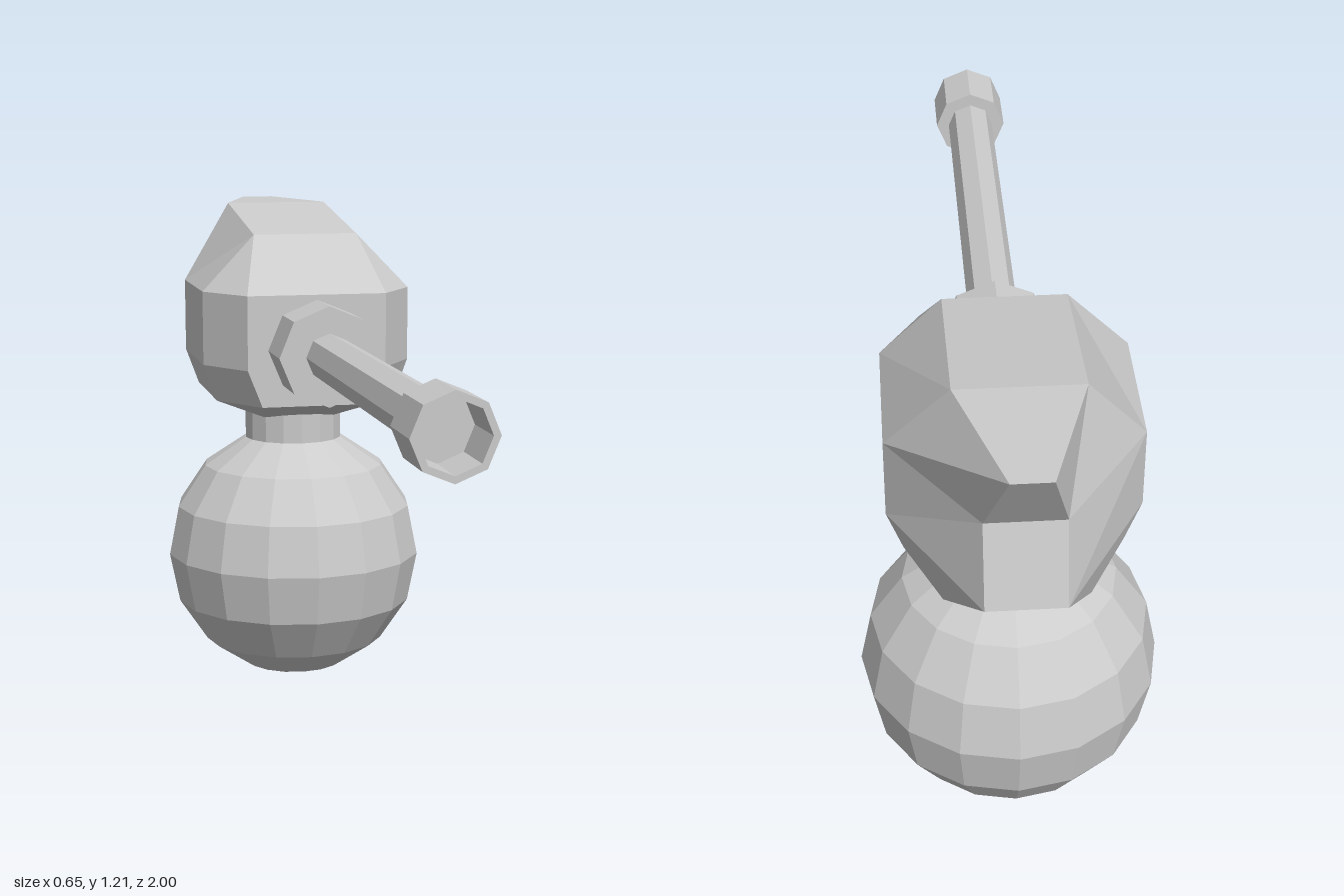
import * as THREE from 'three';

const material = new THREE.MeshStandardMaterial({ color: 0xcccccc, flatShading: true });

// Half outlines [x, y, z] from front to back, one per level going up
const headLevels = [
  [[0.085, 0.69, -0.43], [0.085, 0.69, -0.43], [0.15, 0.69, -0.72], [0.15, 0.69, -0.72]],
  [[0.135, 0.755, -0.2], [0.225, 0.755, -0.33], [0.225, 0.755, -0.63], [0.15, 0.69, -0.72]],
  [[0.17, 0.845, -0.2], [0.258, 0.845, -0.33], [0.258, 0.845, -0.63], [0.08, 0.845, -0.925]],
  [[0.17, 1.025, -0.2], [0.258, 1.025, -0.33], [0.258, 1.025, -0.63], [0.08, 1.025, -0.88]],
  [[0.128, 1.16, -0.34], [0.128, 1.16, -0.34], [0.128, 1.215, -0.72], [0.04, 1.215, -1]],
];

// Faceted loft through mirrored outlines, closed at top and bottom
function loftMirrored(levels) {
  const rings = levels.map((half) => {
    const right = half.map((p) => new THREE.Vector3(...p));
    const left = right.map((p) => new THREE.Vector3(-p.x, p.y, p.z)).reverse();
    return [...right, ...left];
  });
  const n = rings[0].length;
  const points = [];
  const tri = (a, b, c) => {
    if (!a.equals(b) && !b.equals(c) && !c.equals(a)) points.push(a, b, c);
  };
  const quad = (a, b, c, d) => { tri(a, b, c); tri(a, c, d); };

  for (let k = 0; k < rings.length - 1; k++) {
    for (let i = 0; i < n; i++) {
      const j = (i + 1) % n;
      quad(rings[k][i], rings[k][j], rings[k + 1][j], rings[k + 1][i]);
    }
  }
  const top = rings[rings.length - 1];
  const bottom = rings[0];
  for (let i = 0; i < n / 2 - 1; i++) {
    quad(top[i], top[i + 1], top[n - 2 - i], top[n - 1 - i]);
    quad(bottom[n - 1 - i], bottom[n - 2 - i], bottom[i + 1], bottom[i]);
  }
  const geometry = new THREE.BufferGeometry().setFromPoints(points);
  geometry.computeVertexNormals();
  return geometry;
}

// Octagonal part turned about the barrel axis from [radius, z] points
function turned(profile) {
  const geometry = new THREE.LatheGeometry(profile.map((p) => new THREE.Vector2(...p)), 8);
  return geometry.rotateX(Math.PI / 2).translate(0, 0.893, 0);
}

export function createModel() {
  const model = new THREE.Group();
  model.name = 'ballMountedGun';
  const add = (name, geometry) => {
    const mesh = new THREE.Mesh(geometry, material);
    mesh.name = name;
    model.add(mesh);
  };

  // Ball base and the short neck rising from it
  add('ballBase', new THREE.SphereGeometry(0.326, 16, 8).translate(0, 0.328, -0.505));
  add('neck', new THREE.CylinderGeometry(0.124, 0.124, 0.1, 16).translate(0, 0.675, -0.505));

  // Angular housing with a rear spike
  add('housing', loftMirrored(headLevels));

  // Collar, barrel and hollow muzzle
  add('barrelCollar', turned([[0, -0.21], [0.12, -0.21], [0.12, -0.06], [0, -0.06]]));
  add('barrel', turned([[0.056, -0.07], [0.056, 0.87]]));
  add('muzzle', turned([[0.05, 0.86], [0.087, 0.86], [0.087, 1], [0.072, 1], [0.072, 0.88], [0, 0.88]]));

  return model;
}
